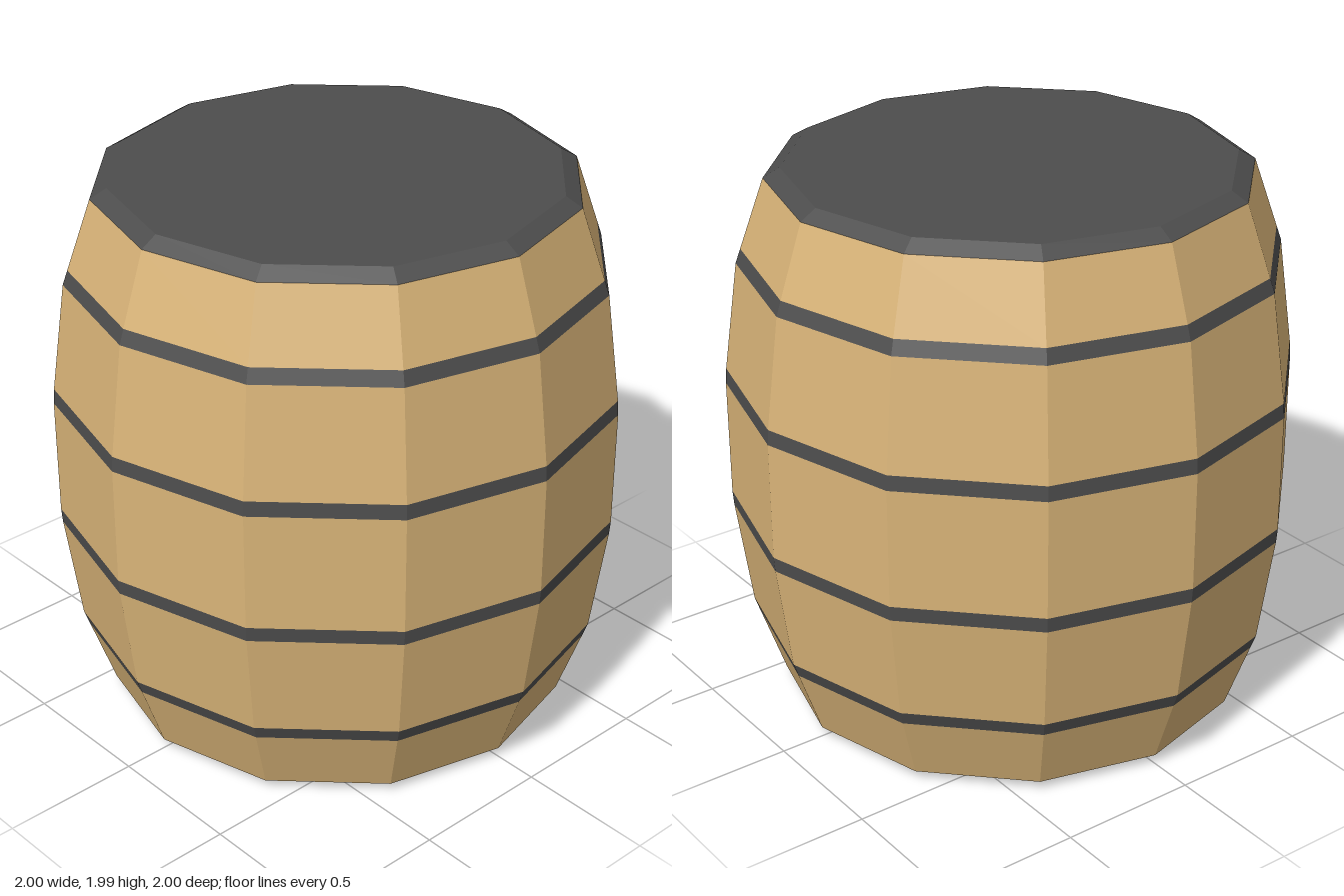
import * as THREE from 'three';

const SIDES = 12;
const HEIGHT = 1.99;

// Half profile [radius, y] from the bottom cap to the belly, mirrored to the top
const lower = [
  [0.78, 0], [0.838, 0.035],
  [0.925, 0.285], [0.943, 0.337],
  [0.996, 0.728], [1, 0.782],
];
const profile = [...lower, ...lower.map(([r, y]) => [r, HEIGHT - y]).reverse()];

export function createModel() {
  const barrel = new THREE.Group();
  barrel.name = 'barrel';
  const wood = new THREE.MeshStandardMaterial({ color: 0xd9b478, flatShading: true });
  const iron = new THREE.MeshStandardMaterial({ color: 0x4d4d4d, flatShading: true });

  const addRing = (name, points, material) => {
    const pts = points.map(([r, y]) => new THREE.Vector2(r, y));
    const mesh = new THREE.Mesh(new THREE.LatheGeometry(pts, SIDES), material);
    mesh.name = name;
    barrel.add(mesh);
  };

  // Iron hoops alternate with rows of staves, all flush with one another
  for (let i = 0; i < profile.length - 1; i++) {
    const isHoop = i % 2 === 0;
    const name = (isHoop ? 'hoop' : 'staves') + (Math.floor(i / 2) + 1);
    addRing(name, [profile[i], profile[i + 1]], isHoop ? iron : wood);
  }

  // Flat iron lids close both ends
  addRing('bottomLid', [[0, 0], profile[0]], iron);
  addRing('topLid', [profile[profile.length - 1], [0, HEIGHT]], iron);

  return barrel;
}
